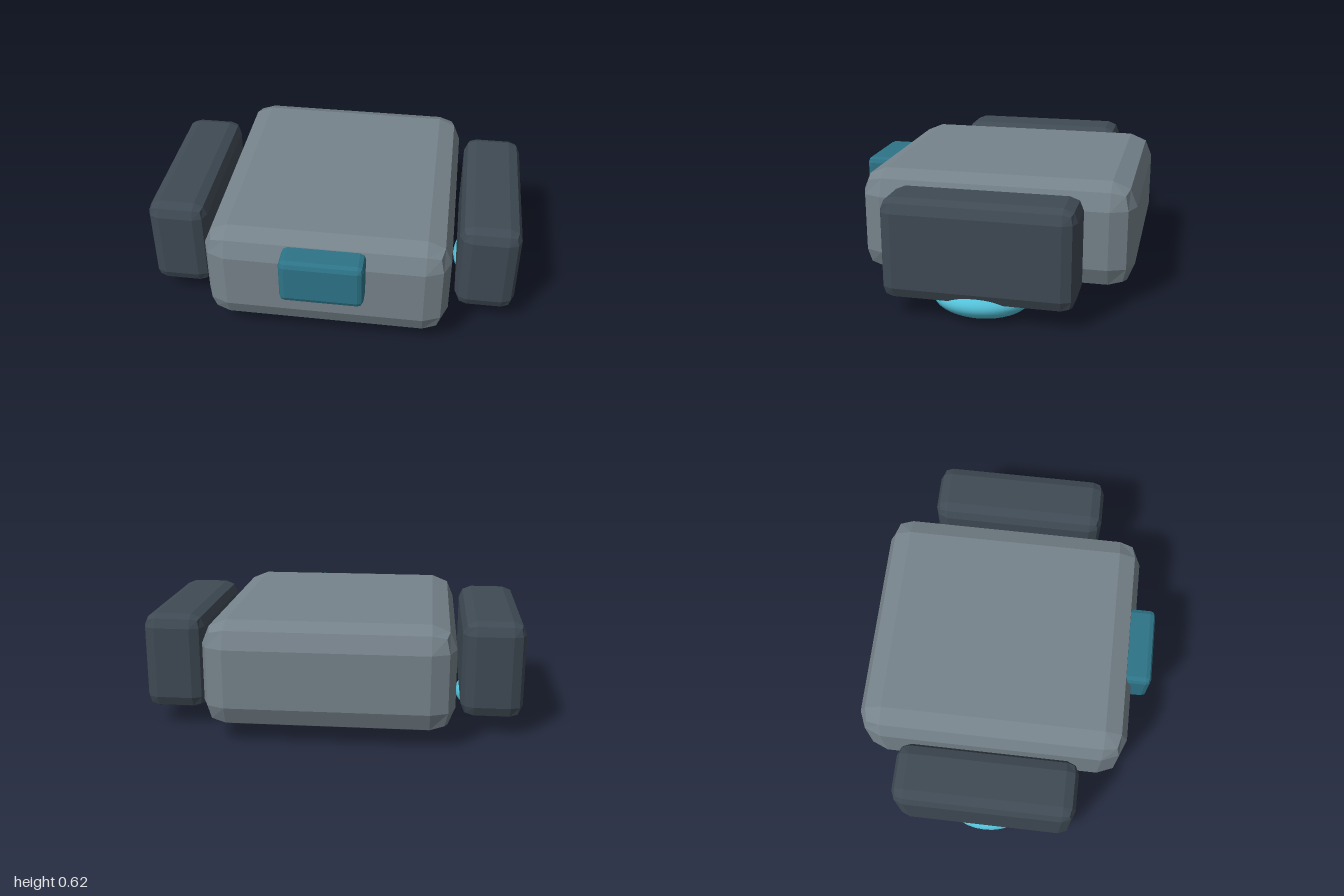
import * as THREE from 'three';
import { RoundedBoxGeometry } from 'three/addons/geometries/RoundedBoxGeometry.js';

function material(name, color, flatShading = false) {
  const m = new THREE.MeshStandardMaterial({ color, flatShading });
  m.name = name;
  return m;
}

// Box with a two-facet bevel, given by its lower and upper corners
function bevelledBox(name, min, max, radius, mat) {
  const size = max.map((v, i) => v - min[i]);
  const mesh = new THREE.Mesh(new RoundedBoxGeometry(...size, 1, radius), mat);
  mesh.position.set(...min.map((v, i) => (v + max[i]) / 2));
  mesh.name = name;
  return mesh;
}

export function createModel() {
  const grey = material('body grey', 0x76838b, true);
  const slate = material('dark slate', 0x3f4a54, true);
  const teal = material('deep teal', 0x2d7488, true);
  const cyan = material('bright cyan', 0x55c4dc);

  const model = new THREE.Group();
  model.name = 'hoverPlatform';

  // Central hull and front sensor block
  model.add(bevelledBox('body', [-0.635, 0.07, -0.76], [0.635, 0.62, 0.66], 0.125, grey));
  model.add(bevelledBox('frontSensor', [-0.213, 0.332, 0.5], [0.213, 0.58, 0.76], 0.03, teal));

  // Side pods, each with a flattened thruster below
  const thrusterGeometry = new THREE.SphereGeometry(1, 32, 20);
  for (const [side, sign] of [['left', 1], ['right', -1]]) {
    const x = sign * 0.825;
    model.add(bevelledBox(`${side}Pod`,
      [x - 0.159, 0.09, -0.525], [x + 0.159, 0.598, 0.423], 0.067, slate));

    const thruster = new THREE.Mesh(thrusterGeometry, cyan);
    thruster.name = `${side}Thruster`;
    thruster.scale.set(0.175, 0.09, 0.238);
    thruster.position.set(x, 0.09, -0.05);
    model.add(thruster);
  }
  return model;
}
